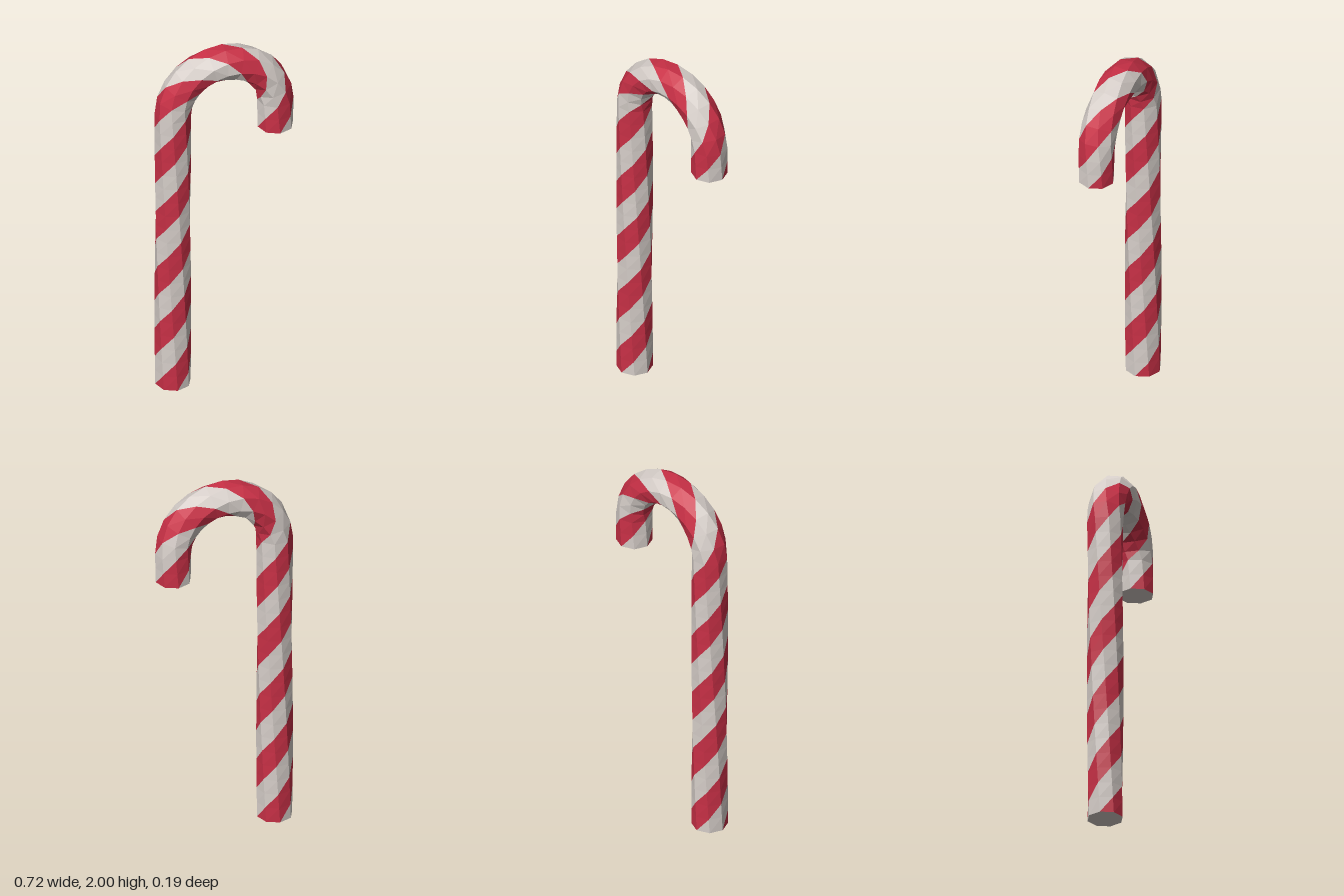
import * as THREE from 'three';

const SIDES = 8, RADIUS = 0.0925, BEND = 0.268;
const SHAFT = 1.64, HOOK_END = 1.48;
const TWIST = Math.PI * 7.5; // total twist along the whole cane

export function createModel() {
  const red = new THREE.MeshStandardMaterial({ color: 0xc83046, flatShading: true });
  red.name = 'candyRed';
  const white = new THREE.MeshStandardMaterial({ color: 0xd6cec9, flatShading: true });
  white.name = 'candyWhite';

  // Centre line stations: shaft, half-circle bend, short straight tip
  const stations = [];
  const arc = Math.PI * BEND, tip = SHAFT - HOOK_END;
  const add = (x, y, bend, s) => stations.push({ x, y, bend, s });
  for (let i = 0; i < 20; i++) add(-BEND, SHAFT * i / 20, 0, SHAFT * i / 20);
  for (let i = 0; i <= 12; i++) {
    const a = Math.PI * i / 12;
    add(-BEND * Math.cos(a), SHAFT + BEND * Math.sin(a), a, SHAFT + BEND * a);
  }
  for (let i = 1; i <= 2; i++) add(BEND, SHAFT - tip * i / 2, Math.PI, SHAFT + arc + tip * i / 2);
  const length = SHAFT + arc + tip;

  // Twisted octagonal rings
  const rings = stations.map(({ x, y, bend, s }) => {
    const ring = [];
    for (let i = 0; i < SIDES; i++) {
      const t = i * 2 * Math.PI / SIDES - TWIST * s / length;
      const n = RADIUS * Math.cos(t);
      ring.push([x + n * Math.cos(bend), y - n * Math.sin(bend), RADIUS * Math.sin(t)]);
    }
    return ring;
  });

  const group = new THREE.Group();
  group.name = 'candyCane';
  const addMesh = (name, points, material) => {
    const geometry = new THREE.BufferGeometry();
    geometry.setAttribute('position', new THREE.Float32BufferAttribute(points.flat(), 3));
    geometry.computeVertexNormals();
    const mesh = new THREE.Mesh(geometry, material);
    mesh.name = name;
    group.add(mesh);
  };

  // Four spiral stripes, each two sides wide
  for (let k = 0; k < 4; k++) {
    const points = [];
    for (let j = 0; j < rings.length - 1; j++) {
      for (let i = 2 * k; i < 2 * k + 2; i++) {
        const n = (i + 1) % SIDES;
        const a = rings[j][i], b = rings[j][n], c = rings[j + 1][n], d = rings[j + 1][i];
        points.push(a, c, b, a, d, c);
      }
    }
    addMesh(k % 2 ? 'redStripe' : 'whiteStripe', points, k % 2 ? red : white);
  }

  // Flat end caps
  const cap = (name, ring, { x, y }, flip) => {
    const points = [];
    for (let i = 0; i < SIDES; i++) {
      const p = ring[i], q = ring[(i + 1) % SIDES];
      points.push([x, y, 0], flip ? q : p, flip ? p : q);
    }
    addMesh(name, points, white);
  };
  cap('bottomCap', rings[0], stations[0], false);
  cap('hookCap', rings.at(-1), stations.at(-1), true);
  return group;
}
